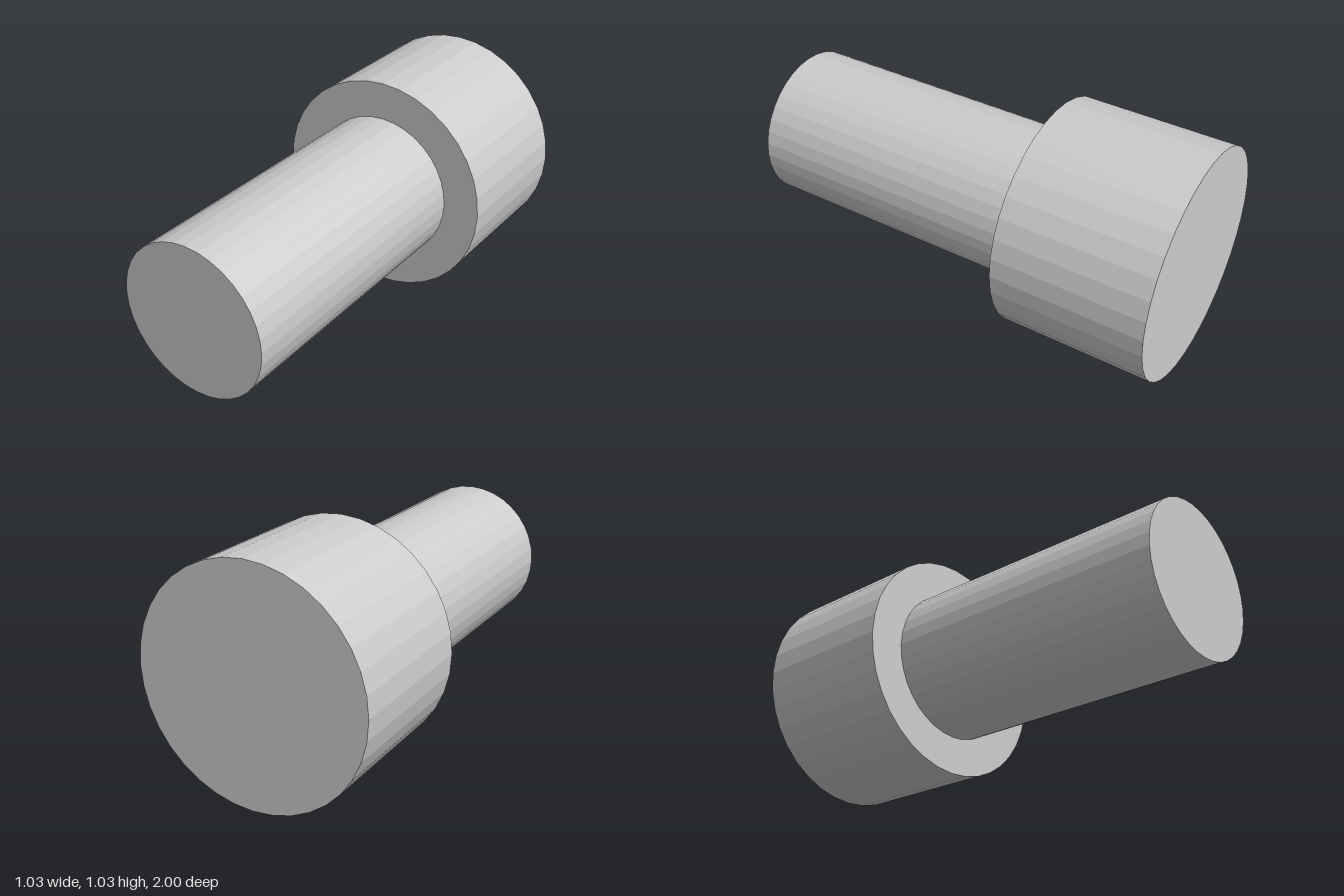
import * as THREE from 'three';

const SIDES = 36;
const AXIS_Y = 0.515;

export function createModel() {
  const model = new THREE.Group();
  const material = new THREE.MeshStandardMaterial({ color: 0xcccccc, flatShading: true });

  // Faceted cylinder lying along z between two depths
  const addCylinder = (name, radius, zBack, zFront) => {
    const geometry = new THREE.CylinderGeometry(radius, radius, zFront - zBack, SIDES);
    geometry.rotateX(Math.PI / 2);
    const mesh = new THREE.Mesh(geometry, material);
    mesh.name = name;
    mesh.position.set(0, AXIS_Y, (zBack + zFront) / 2);
    model.add(mesh);
  };

  addCylinder('head', 0.513, -1, -0.316); // wide rear head
  addCylinder('shaft', 0.342, -0.316, 1); // narrower front shaft

  return model;
}
